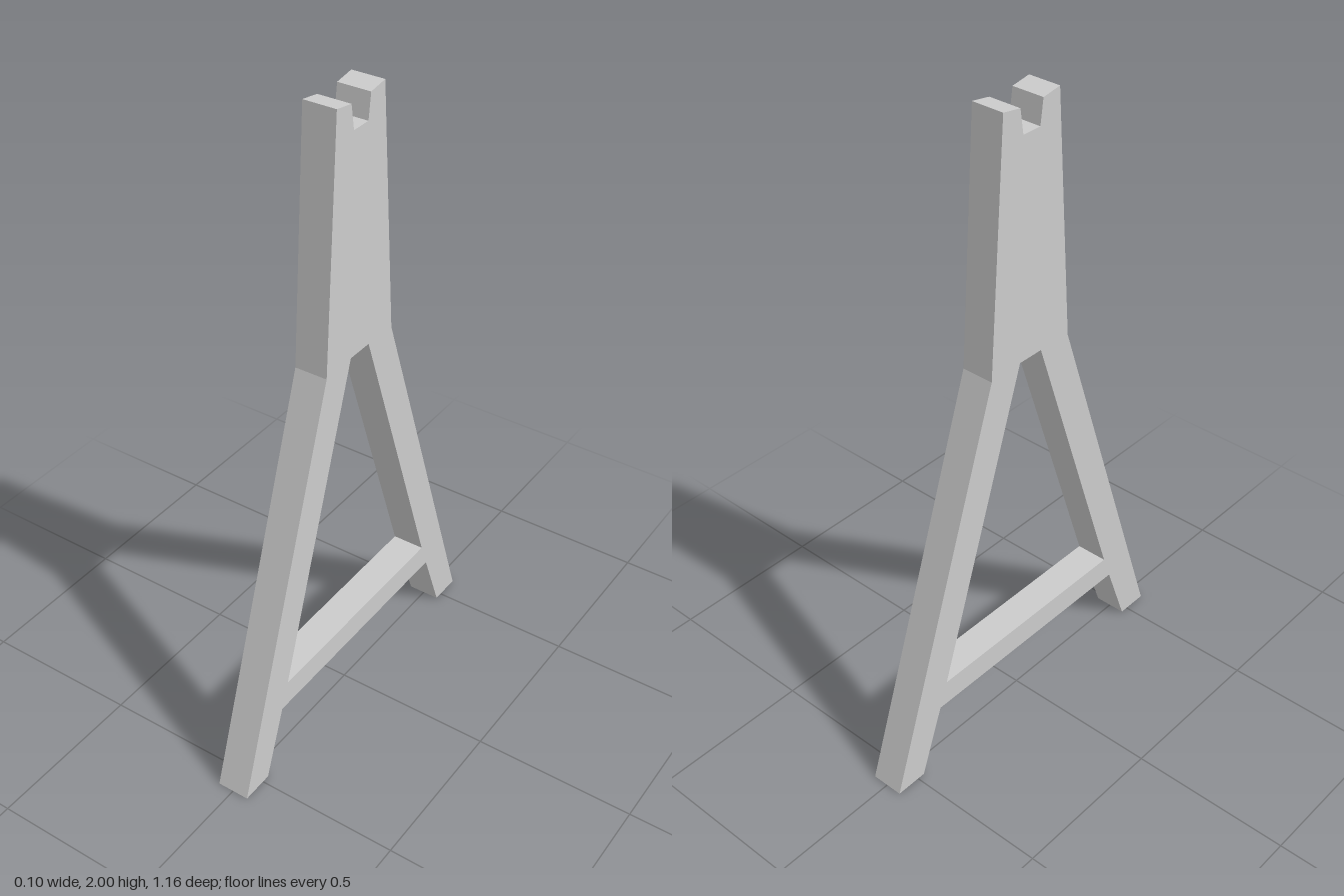
import * as THREE from 'three';

const HALF_THICKNESS = 0.051;

// Mirror a half profile of [z, y] points into a closed outline
const mirrored = (half) => [
  ...half,
  ...half.slice().reverse().map(([z, y]) => [-z, y]),
].map(([z, y]) => new THREE.Vector2(z, y));

// Remove the triangles lying on the ground, leaving the feet open
function openBase(geometry) {
  const source = geometry.toNonIndexed().attributes.position.array;
  const kept = [];
  for (let i = 0; i < source.length; i += 9) {
    const top = Math.max(source[i + 1], source[i + 4], source[i + 7]);
    if (top > 1e-4) kept.push(...source.slice(i, i + 9));
  }
  const result = new THREE.BufferGeometry();
  result.setAttribute('position', new THREE.Float32BufferAttribute(kept, 3));
  result.computeVertexNormals();
  return result;
}

export function createModel() {
  const group = new THREE.Group();
  group.name = 'trestleSupport';

  // Outline: crossbar underside, foot, leg, tapered neck, notched head
  const shape = new THREE.Shape(mirrored([
    [0.395, 0.215], [0.475, 0], [0.578, 0], [0.157, 1.245],
    [0.106, 2], [0.043, 1.99], [0.032, 1.916],
  ]));

  // Opening between the legs above the crossbar
  shape.holes.push(new THREE.Path(mirrored([[0.365, 0.297], [0.043, 1.25]])));

  // Extrude across the thickness and turn the profile into the z-y plane
  const geometry = new THREE.ExtrudeGeometry(shape, {
    depth: HALF_THICKNESS * 2,
    bevelEnabled: false,
  });
  geometry.translate(0, 0, -HALF_THICKNESS);
  geometry.rotateY(-Math.PI / 2);

  const frame = new THREE.Mesh(
    openBase(geometry),
    new THREE.MeshStandardMaterial({
      color: 0xcccccc,
      flatShading: true,
      side: THREE.DoubleSide,
    }),
  );
  frame.name = 'notchedFrame';
  group.add(frame);
  return group;
}
